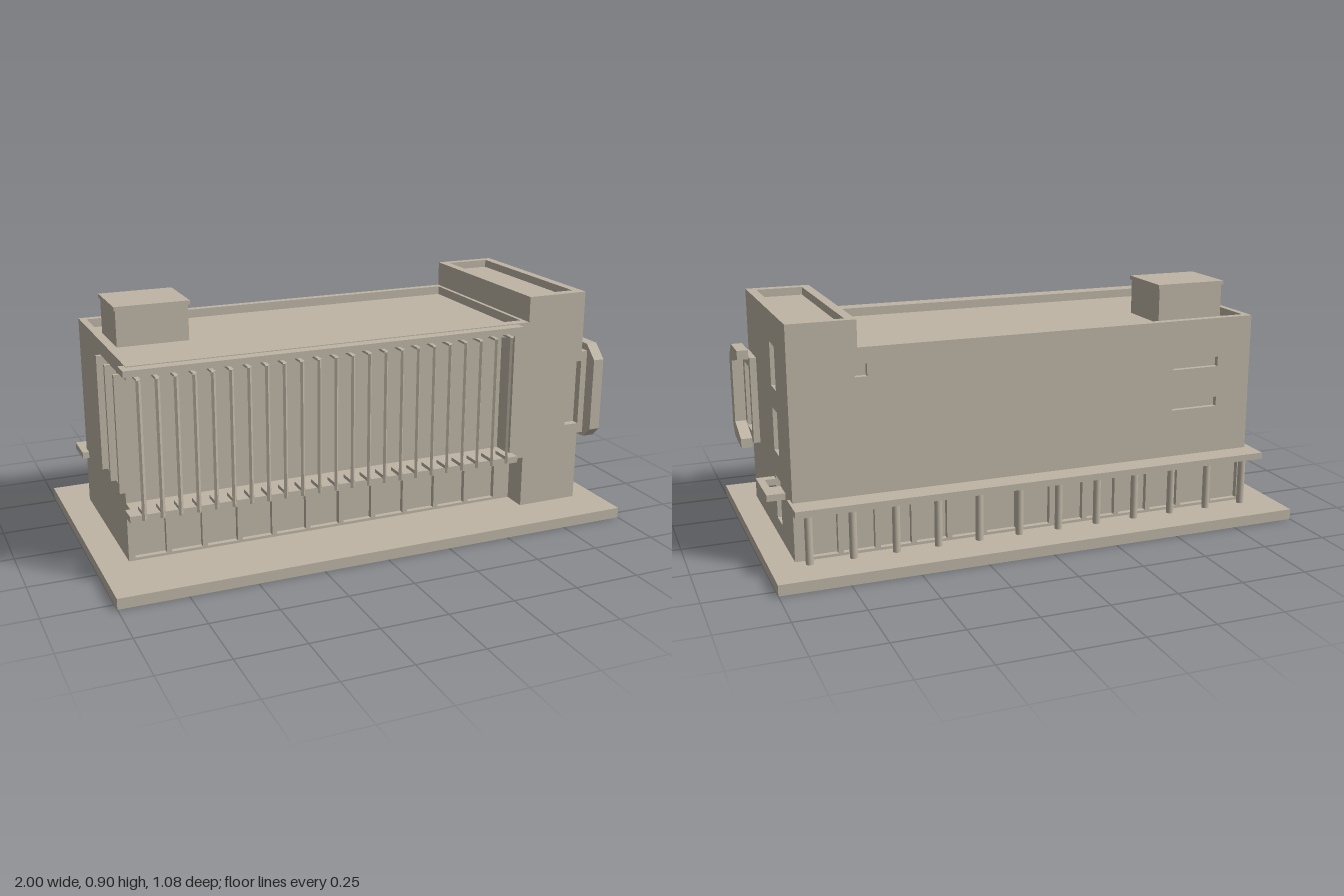
import * as THREE from 'three';

const stone = new THREE.MeshStandardMaterial({ color: 0xbeb5a5 });
stone.name = 'warm stone';

// Box given by its limits on each axis
function box(parent, name, x0, x1, y0, y1, z0, z1) {
  const mesh = new THREE.Mesh(new THREE.BoxGeometry(x1 - x0, y1 - y0, z1 - z0), stone);
  mesh.position.set((x0 + x1) / 2, (y0 + y1) / 2, (z0 + z1) / 2);
  mesh.name = name;
  parent.add(mesh);
  return mesh;
}

const rect = (u0, u1, v0, v1) => [[u0, v0], [u1, v0], [u1, v1], [u0, v1]];
const toVectors = (points) => points.map(([u, v]) => new THREE.Vector2(u, v));

// Slab with openings; u runs along +x (front, top), -x (back), -z (right) or +z (left)
function slab(parent, name, facing, start, thickness, outline, holes = []) {
  const shape = new THREE.Shape(toVectors(outline));
  shape.holes = holes.map((h) => new THREE.Path(toVectors(rect(...h))));
  const geometry = new THREE.ExtrudeGeometry(shape, { depth: thickness, bevelEnabled: false });
  geometry.translate(0, 0, start);
  if (facing === 'back') geometry.rotateY(Math.PI);
  if (facing === 'right') geometry.rotateY(Math.PI / 2);
  if (facing === 'left') geometry.rotateY(-Math.PI / 2);
  if (facing === 'top') geometry.rotateX(-Math.PI / 2);
  const mesh = new THREE.Mesh(geometry, stone);
  mesh.name = name;
  parent.add(mesh);
}

function createHall() {
  const hall = new THREE.Group();
  hall.name = 'mainHall';
  box(hall, 'hallCore', -0.87, 0.66, 0.04, 0.75, -0.345, 0.25);

  // Recessed front with a row of ground floor windows
  const frontWindows = [];
  for (let i = 0; i < 11; i++) {
    const x = -0.866 + i * 0.1342;
    frontWindows.push([x, x + 0.115, 0.05, 0.22]);
  }
  slab(hall, 'frontWall', 'front', 0.25, 0.02, rect(-0.89, 0.66, 0.04, 0.75), frontWindows);
  box(hall, 'upperFloorSlab', -0.89, 0.66, 0.24, 0.262, 0.26, 0.365);
  box(hall, 'roofOverhang', -0.89, 0.66, 0.735, 0.75, 0.26, 0.365);
  box(hall, 'frontPier', 0.6, 0.66, 0.24, 0.75, 0.26, 0.365);

  // Left wall windows and their upright bars
  slab(hall, 'leftWall', 'left', 0.87, 0.02, rect(-0.345, 0.25, 0.04, 0.75),
    [[0.008, 0.122, 0.3, 0.73], [0.138, 0.242, 0.3, 0.73]]);
  for (const z of [0, 0.13, 0.262]) {
    box(hall, 'leftWindowBar', -0.91, -0.87, 0.3, 0.73, z - 0.008, z + 0.008);
  }

  // Parapet around the sunken roof
  slab(hall, 'hallParapet', 'top', 0.75, 0.033, rect(-0.89, 0.66, -0.365, 0.365),
    [[-0.865, 0.645, -0.325, 0.335]]);
  box(hall, 'roofHouse', -0.83, -0.56, 0.75, 0.885, -0.235, -0.005);
  box(hall, 'roofHouseCap', -0.836, -0.554, 0.885, 0.9, -0.24, 0);
  return hall;
}

function createSunscreen() {
  const screen = new THREE.Group();
  screen.name = 'sunscreen';
  box(screen, 'upperRail', -0.91, 0.61, 0.757, 0.78, 0.34, 0.407);
  box(screen, 'lowerRail', -0.91, 0.61, 0.242, 0.267, 0.34, 0.407);
  // Slanted vertical fins held by short arms
  for (let i = 0; i < 23; i++) {
    const x = -0.863 + i * 0.0643;
    const fin = box(screen, 'fin', x - 0.005, x + 0.005, 0.255, 0.75, 0.407, 0.433);
    fin.rotation.y = -0.55;
    box(screen, 'upperArm', x - 0.005, x + 0.009, 0.742, 0.75, 0.35, 0.42);
    box(screen, 'lowerArm', x - 0.005, x + 0.009, 0.267, 0.28, 0.35, 0.42);
  }
  return screen;
}

function createTower() {
  const tower = new THREE.Group();
  tower.name = 'stairTower';
  box(tower, 'towerCore', 0.66, 0.865, 0.04, 0.85, -0.345, 0.335);
  // Front wall with a notch for the corner window
  slab(tower, 'towerFront', 'front', 0.335, 0.03, [
    [0.66, 0.04], [0.905, 0.04], [0.905, 0.35], [0.845, 0.35],
    [0.845, 0.605], [0.905, 0.605], [0.905, 0.85], [0.66, 0.85]]);
  const sideWindows = [[0.105, 0.27], [0.365, 0.525], [0.605, 0.765]];
  slab(tower, 'towerSide', 'right', 0.865, 0.04, rect(-0.335, 0.345, 0.04, 0.85),
    [...sideWindows.map(([y0, y1]) => [0.078, 0.163, y0, y1]), [-0.33, -0.235, 0.35, 0.605]]);
  for (const [y0] of sideWindows.slice(1)) {
    box(tower, 'windowSill', 0.86, 0.885, y0, y0 + 0.026, -0.163, -0.078);
  }
  slab(tower, 'towerParapet', 'top', 0.85, 0.03, rect(0.66, 0.905, -0.365, 0.365),
    [[0.695, 0.87, -0.325, 0.335]]);

  // Corner window surround and its wrapped hood
  slab(tower, 'bayFrame', 'right', 0.905, 0.025, rect(-0.365, -0.208, 0.31, 0.643),
    [[-0.33, -0.235, 0.35, 0.605]]);
  slab(tower, 'bayHood', 'right', 0.93, 0.043, [
    [-0.228, 0.67], [-0.36, 0.67], [-0.414, 0.617], [-0.414, 0.335], [-0.375, 0.297],
    [-0.243, 0.283], [-0.243, 0.32], [-0.36, 0.36], [-0.36, 0.605], [-0.228, 0.635]].reverse());

  // Side door canopy, open beside the wall
  slab(tower, 'doorCanopy', 'top', 0.23, 0.024, [
    [0.905, 0.045], [0.972, 0.045], [0.972, 0.247], [0.905, 0.247],
    [0.905, 0.163], [0.945, 0.163], [0.945, 0.078], [0.905, 0.078]]);
  return tower;
}

function createBack() {
  const back = new THREE.Group();
  back.name = 'backSide';
  // Back wall: ground windows, two slots and a small vent
  const openings = [[0.56, 0.75, 0.595, 0.632], [0.56, 0.75, 0.437, 0.474], [-0.672, -0.628, 0.68, 0.725]];
  for (let i = 0; i < 13; i++) {
    const u = -0.865 + i * 0.1342;
    openings.push([u, u + 0.115, 0.05, 0.215]);
  }
  slab(back, 'backWall', 'back', 0.345, 0.02, [
    [-0.905, 0.04], [0.89, 0.04], [0.89, 0.75], [-0.66, 0.75], [-0.66, 0.85], [-0.905, 0.85]], openings);

  // Covered walk on round columns
  box(back, 'walkRoof', -0.915, 0.915, 0.23, 0.255, -0.453, -0.322);
  const column = new THREE.CylinderGeometry(0.014, 0.014, 0.19, 20);
  for (let i = 0; i < 12; i++) {
    const mesh = new THREE.Mesh(column, stone);
    mesh.name = 'column';
    mesh.position.set(-0.86 + i * 0.1564, 0.135, -0.398);
    back.add(mesh);
  }
  return back;
}

export function createModel() {
  const model = new THREE.Group();
  model.name = 'building';
  box(model, 'basePlate', -1, 1, 0, 0.04, -0.54, 0.54);
  model.add(createHall(), createSunscreen(), createTower(), createBack());
  return model;
}
